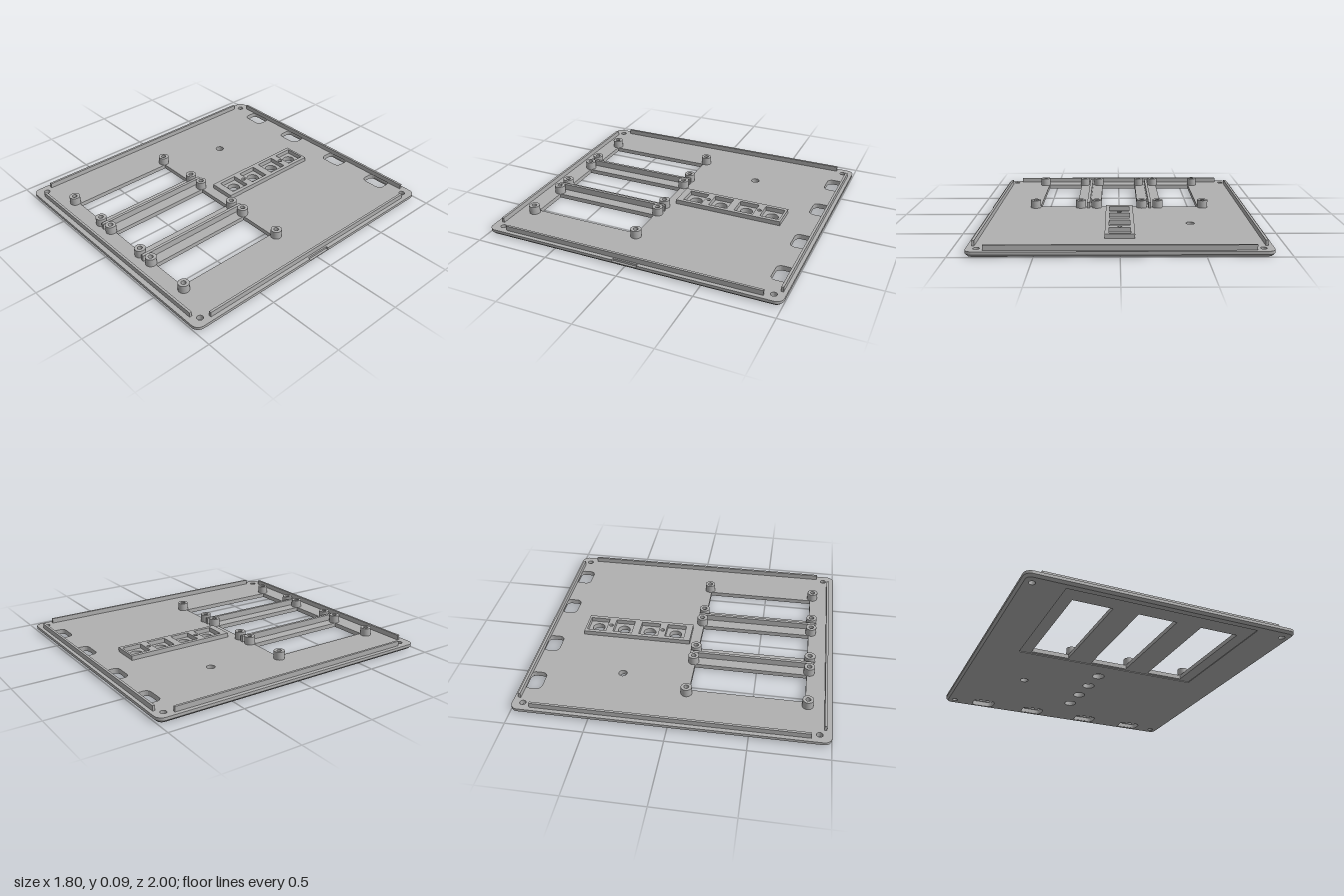
import * as THREE from 'three';
import { toCreasedNormals } from 'three/addons/utils/BufferGeometryUtils.js';

const TOP = 0.034; // upper face of the plate

// Closed outline in plan; r rounds the corners. Shape y is -z.
function rect(Type, x0, x1, z0, z1, r = 0) {
  const p = new Type(), a = -z1, b = -z0;
  if (!r) {
    p.moveTo(x0, a).lineTo(x1, a).lineTo(x1, b).lineTo(x0, b).closePath();
    return p;
  }
  p.moveTo(x0 + r, a);
  p.lineTo(x1 - r, a).absarc(x1 - r, a + r, r, -Math.PI / 2, 0);
  p.lineTo(x1, b - r).absarc(x1 - r, b - r, r, 0, Math.PI / 2);
  p.lineTo(x0 + r, b).absarc(x0 + r, b - r, r, Math.PI / 2, Math.PI);
  p.lineTo(x0, a + r).absarc(x0 + r, a + r, r, Math.PI, Math.PI * 1.5);
  return p;
}

function circle(Type, x, z, r) {
  const p = new Type();
  p.absarc(x, -z, r, 0, Math.PI * 2);
  return p;
}

// Upright slab between two heights
function slab(shape, y0, y1) {
  const g = new THREE.ExtrudeGeometry(shape, { depth: y1 - y0, bevelEnabled: false, curveSegments: 10 });
  return g.rotateX(-Math.PI / 2).translate(0, y0, 0);
}

// Pull the outer wall inward near the underside to make the chamfer
function chamfer(g, size) {
  const p = g.attributes.position;
  for (let i = 0; i < p.count; i++) {
    const x = p.getX(i), z = p.getZ(i);
    const dx = Math.max(Math.abs(x) - 0.85, 0), dz = Math.max(Math.abs(z) - 0.95, 0);
    const d = Math.hypot(dx, dz);
    if (d < 0.0495) continue;
    const inset = Math.max(0, size - p.getY(i)) / d;
    p.setX(i, x - Math.sign(x) * dx * inset);
    p.setZ(i, z - Math.sign(z) * dz * inset);
  }
  return g;
}

export function createModel() {
  const group = new THREE.Group();
  const grey = new THREE.MeshStandardMaterial({ color: 0xb0b0b0 });
  grey.name = 'grey plastic';

  const add = (name, geometry) => {
    const mesh = new THREE.Mesh(toCreasedNormals(geometry, 0.6), grey);
    mesh.name = name;
    group.add(mesh);
    return mesh;
  };
  const bar = (name, x0, x1, z0, z1, y1) => add(name, slab(rect(THREE.Shape, x0, x1, z0, z1), TOP, y1));

  const buttonZ = [-0.65, -0.466, -0.28, -0.095];
  const windows = [[-0.56, -0.3], [-0.13, 0.13], [0.3, 0.56]];

  // Holes through the whole plate
  const commonHoles = () => {
    const holes = [circle(THREE.Path, -0.463, -0.37, 0.028)];
    for (const x of [-0.836, 0.836]) for (const z of [-0.932, 0.925]) holes.push(circle(THREE.Path, x, z, 0.02));
    for (const z of buttonZ) holes.push(circle(THREE.Path, 0, z, 0.042));
    for (const x of [-0.618, -0.224, 0.224, 0.618]) {
      holes.push(rect(THREE.Path, x - 0.08, x + 0.08, -0.972, -0.86, 0.035));
    }
    return holes;
  };
  const windowHoles = () => windows.map(([a, b]) => rect(THREE.Path, a, b, 0.088, 0.83));
  const outline = () => rect(THREE.Shape, -0.9, 0.9, -1, 1, 0.05);

  // Underside layer with a shallow recess around the windows
  const under = outline();
  under.holes = [...commonHoles(), rect(THREE.Path, -0.64, 0.64, 0.065, 0.945)];
  add('undersideLayer', chamfer(slab(under, 0, 0.005), 0.015));

  // Middle layers: the rest of the chamfer, then the straight edge
  for (const [y0, y1] of [[0.005, 0.015], [0.015, 0.02]]) {
    const middle = outline();
    middle.holes = [...commonHoles(), ...windowHoles()];
    add('middleLayer', chamfer(slab(middle, y0, y1), 0.015));
  }

  // Top layer with a notch in the +x edge
  const top = new THREE.Shape();
  const q = Math.PI / 2;
  top.moveTo(-0.85, -1).lineTo(0.85, -1).absarc(0.85, -0.95, 0.05, -q, 0);
  top.lineTo(0.9, -0.082).lineTo(0.884, -0.082).lineTo(0.884, 0.086).lineTo(0.9, 0.086);
  top.lineTo(0.9, 0.95).absarc(0.85, 0.95, 0.05, 0, q);
  top.lineTo(-0.85, 1).absarc(-0.85, 0.95, 0.05, q, 2 * q);
  top.lineTo(-0.9, -0.95).absarc(-0.85, -0.95, 0.05, 2 * q, 3 * q);
  top.holes = [...commonHoles(), ...windowHoles()];
  add('topLayer', slab(top, 0.02, TOP));

  // Thin lips along the four edges
  bar('backLip', -0.794, 0.794, -0.976, -0.96, 0.067);
  bar('frontLip', -0.794, 0.794, 0.951, 0.967, 0.067);
  for (const s of [-1, 1]) {
    bar('sideLip', s * 0.865 - 0.008, s * 0.865 + 0.008, -0.88, 0.875, 0.067);
    // Divider ribs between the windows
    bar('dividerRib', s * 0.217 - 0.01, s * 0.217 + 0.01, 0.045, 0.872, 0.076);
  }

  // Button block with square pockets and two screw holes
  const block = rect(THREE.Shape, -0.093, 0.093, -0.732, 0.018);
  block.holes = buttonZ.map(z => rect(THREE.Path, -0.067, 0.067, z - 0.067, z + 0.067));
  for (const z of [-0.558, -0.188]) block.holes.push(circle(THREE.Path, 0, z, 0.014));
  add('buttonBlock', slab(block, TOP, 0.064));

  // Hollow screw posts at the window corners
  for (const x of [-0.592, -0.272, -0.16, 0.16, 0.272, 0.592]) {
    for (const z of [0.074, 0.845]) {
      const post = circle(THREE.Shape, x, z, 0.036);
      post.holes = [circle(THREE.Path, x, z, 0.016)];
      add('screwPost', slab(post, TOP, 0.088));
      // Solid floor of the post
      add('screwPostFloor', slab(circle(THREE.Shape, x, z, 0.036), TOP - 0.002, TOP + 0.004));
    }
  }
  return group;
}
